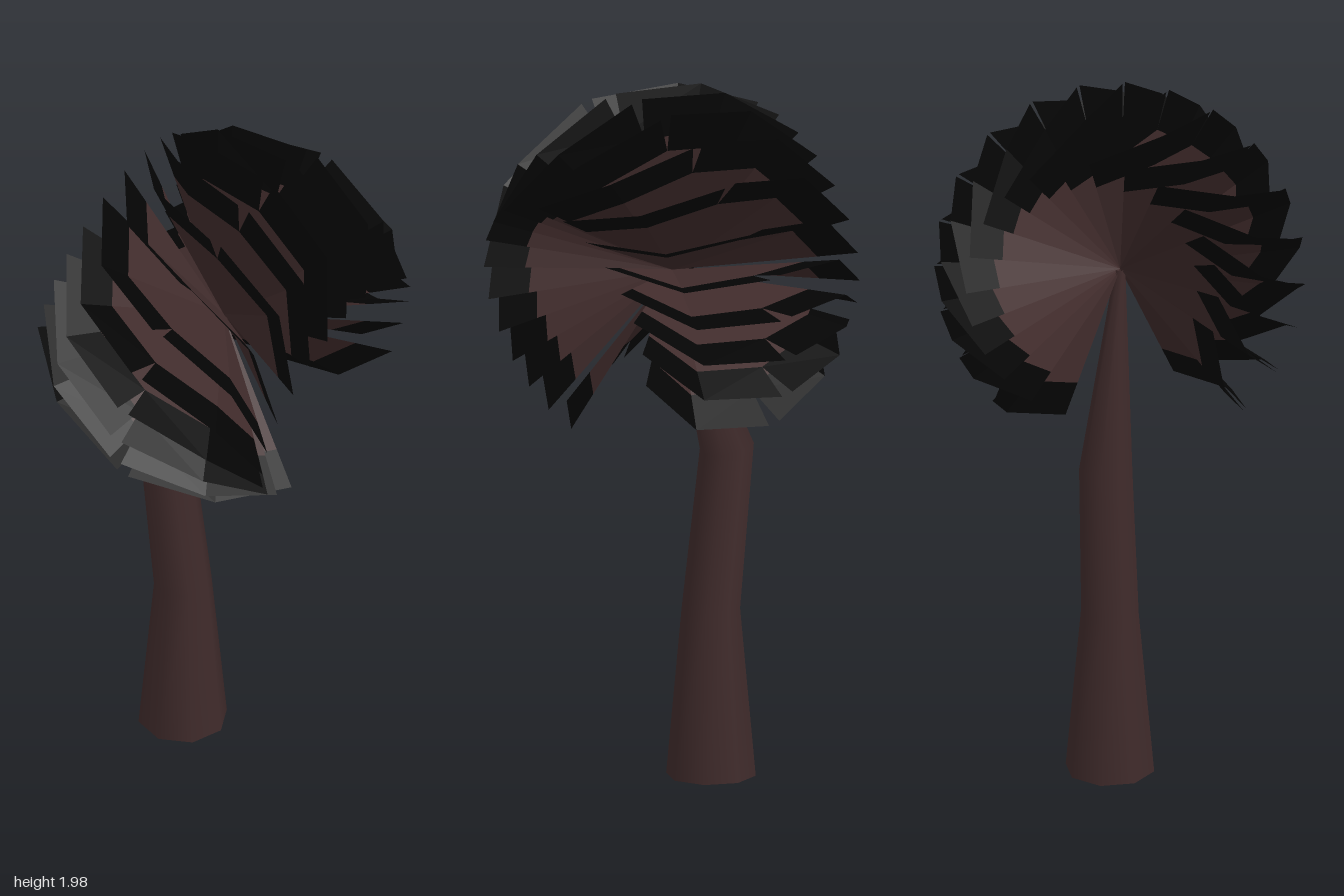
import * as THREE from 'three';

const bark = new THREE.MeshStandardMaterial({ color: 0x412c2c, side: THREE.DoubleSide });
bark.name = 'dark brown';
const black = new THREE.MeshStandardMaterial({ color: 0x040404, side: THREE.DoubleSide });
black.name = 'black';

const deg = Math.PI / 180;

// Point on a frond: fan angle and radius, with the two wings curling to opposite sides
function frondPoint(angle, radius) {
  const curl = 31 * (angle / 47) ** 3 * deg;
  const reach = radius * Math.cos(angle * deg);
  return [radius * Math.sin(angle * deg), reach * Math.cos(curl), reach * Math.sin(curl)];
}

// Band of a frond between two radii; notch is the half angle of the split at its outer edge
function frondBand(inner, outer, notch) {
  const positions = [];
  for (const side of [-1, 1]) {
    const innerAngles = [0, 29 * side, 47 * side];
    const outerAngles = [notch * side, 29 * side, 47 * side];
    for (let i = 0; i < 2; i++) {
      const a = frondPoint(innerAngles[i], inner), b = frondPoint(innerAngles[i + 1], inner);
      const c = frondPoint(outerAngles[i + 1], outer), d = frondPoint(outerAngles[i], outer);
      positions.push(...a, ...d, ...c);
      if (inner > 0) positions.push(...a, ...c, ...b);
    }
  }
  const g = new THREE.BufferGeometry();
  g.setAttribute('position', new THREE.Float32BufferAttribute(positions, 3));
  g.computeVertexNormals();
  return g;
}

// Bent, tapering trunk: rings of [y, x, radius, lean of the ring], top first
function trunkGeometry() {
  const rings = [[1.47, 0, 0.015, 0], [0.935, -0.19, 0.076, -0.2], [0.48, -0.135, 0.082, 0], [0, -0.135, 0.126, 0]];
  const g = new THREE.CylinderGeometry(1, 1, 3, 8, 3, true);
  const p = g.attributes.position;
  for (let i = 0; i < p.count; i++) {
    const [y, x, r, lean] = rings[Math.round(1.5 - p.getY(i))];
    const dx = p.getX(i) * r;
    p.setXYZ(i, x + dx, y + lean * dx, p.getZ(i) * r);
  }
  return g;
}

export function createModel() {
  const model = new THREE.Group();
  model.name = 'tree';

  const trunk = new THREE.Mesh(trunkGeometry(), bark);
  trunk.name = 'trunk';
  model.add(trunk);

  // Crown: fronds turned round a tilted axis, open at the bottom
  const crown = new THREE.Group();
  crown.name = 'crown';
  crown.position.set(0, 1.47, 0);
  crown.rotation.z = -15 * deg;
  const leafGeometry = frondBand(0, 0.41, 0);
  const tipGeometry = frondBand(0.41, 0.525, 2);
  const count = 19;
  for (let i = 0; i < count; i++) {
    const frond = new THREE.Group();
    frond.name = 'frond';
    const jitter = 1.5 * Math.sin(i * 7.3);
    frond.rotation.x = (-140 + 275 * i / (count - 1) + jitter) * deg;
    const leaf = new THREE.Mesh(leafGeometry, bark);
    leaf.name = 'frondLeaf';
    const tip = new THREE.Mesh(tipGeometry, black);
    tip.name = 'frondTip';
    frond.add(leaf, tip);
    crown.add(frond);
  }
  model.add(crown);
  return model;
}
